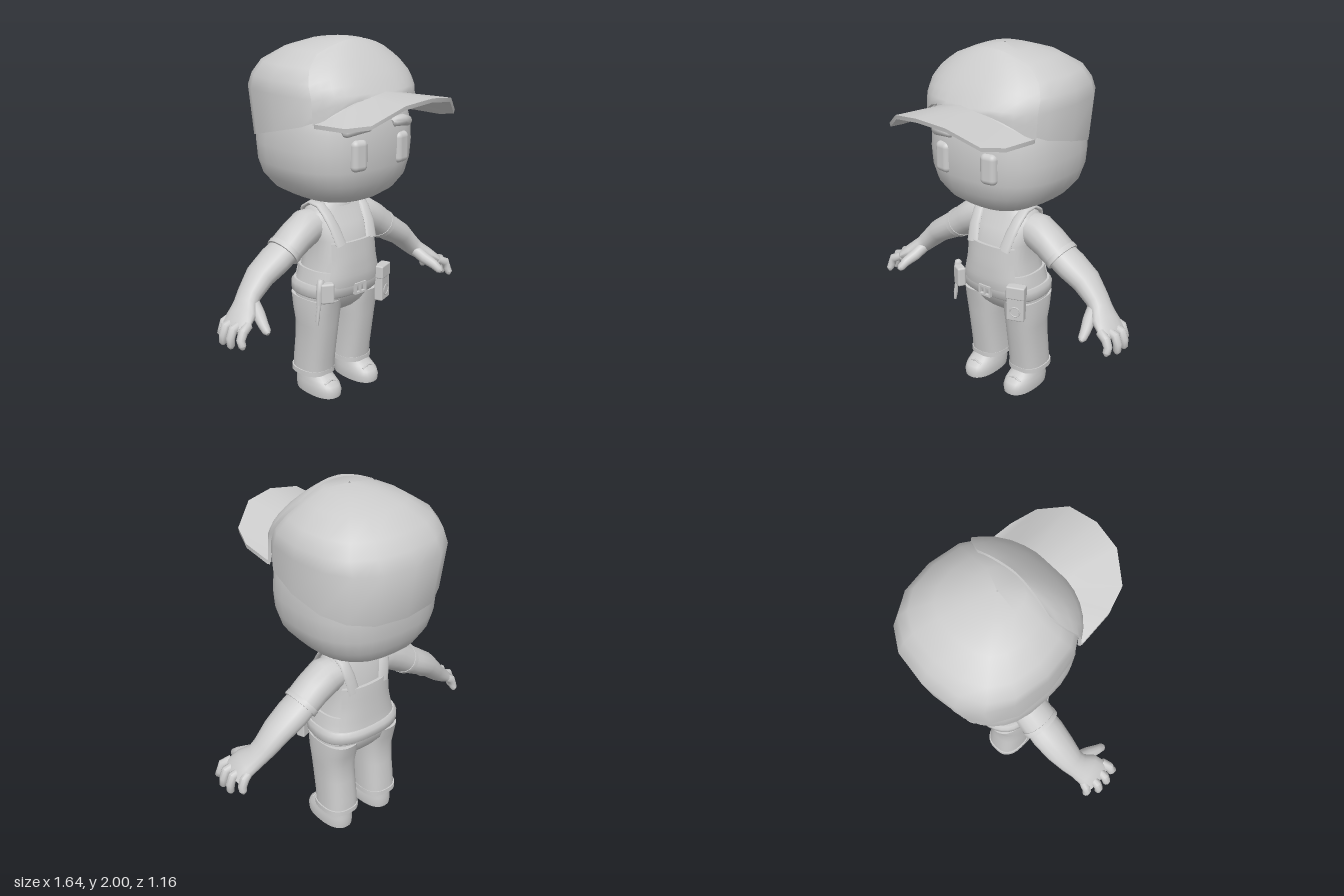
import * as THREE from 'three';
import { toCreasedNormals } from 'three/addons/utils/BufferGeometryUtils.js';
import { RoundedBoxGeometry } from 'three/addons/geometries/RoundedBoxGeometry.js';

const V = (x, y, z) => new THREE.Vector3(x, y, z);
const gray = new THREE.MeshStandardMaterial({ color: 0xcccccc, side: THREE.DoubleSide });
gray.name = 'plain gray';

function add(parent, name, geo, pos = [0, 0, 0], rot = [0, 0, 0]) {
  const m = new THREE.Mesh(geo, gray);
  m.name = name;
  m.position.set(...pos);
  m.rotation.set(...rot);
  parent.add(m);
  return m;
}

// Joins rings of points into a surface; closed rings wrap around, capped ones get end fans
function skin(rings, { wrap = true, caps = true, crease = 0.9 } = {}) {
  const n = rings[0].length, pts = rings.flat(), idx = [];
  for (let i = 0; i < rings.length - 1; i++)
    for (let j = 0; j < (wrap ? n : n - 1); j++) {
      const a = i * n + j, b = i * n + (j + 1) % n;
      idx.push(a, b, b + n, a, b + n, a + n);
    }
  if (caps) for (const end of [0, rings.length - 1]) {
    const c = rings[end].reduce((s, p) => s.add(p), V(0, 0, 0)).divideScalar(n);
    pts.push(c);
    for (let j = 0; j < n; j++) {
      const a = end * n + j, b = end * n + (j + 1) % n;
      if (end) idx.push(a, b, pts.length - 1); else idx.push(b, a, pts.length - 1);
    }
  }
  const g = new THREE.BufferGeometry().setFromPoints(pts);
  g.setIndex(idx);
  return toCreasedNormals(g, crease);
}

// Point on a superellipse section: [y, halfWidth, zFront, zBack]; angle -90 degrees is the front
function onSection([y, hw, zf, zb], a, n, cx = 0) {
  const p = (v) => Math.sign(v) * Math.abs(v) ** (2 / n);
  return V(cx + hw * p(Math.cos(a)), y, (zf + zb) / 2 - (zf - zb) / 2 * p(Math.sin(a)));
}
const around = (n, f) => Array.from({ length: n }, (_, j) => f(j / n * Math.PI * 2));
const stack = (rows, n = 2.5, cx = 0, sides = 32) =>
  skin(rows.map((r) => around(sides, (a) => onSection(r, a, n, cx))));

// Sweeps an ellipse along points [x, y, z, thickness, width]; width runs along ref
function limb(path, ref = V(0, 0, 1), sides = 16) {
  const c = path.map((p) => V(p[0], p[1], p[2]));
  return skin(path.map(([, , , r, w = r], i) => {
    const t = c[Math.min(i + 1, c.length - 1)].clone().sub(c[Math.max(i - 1, 0)]).normalize();
    const b = ref.clone().addScaledVector(t, -ref.dot(t)).normalize();
    const q = t.clone().cross(b);
    return around(sides, (a) => c[i].clone().addScaledVector(b, w * Math.cos(a)).addScaledVector(q, r * Math.sin(a)));
  }));
}

// Raised panel on a surface f(angle, s); border points drop back onto the surface
function panel(f, a0, a1, s0, s1, off, centreY) {
  const nu = 14, nv = 10, rings = [];
  for (let i = 0; i <= nv; i++) {
    const row = [];
    for (let j = 0; j <= nu; j++) {
      const u = THREE.MathUtils.clamp((j - 1) / (nu - 2), 0, 1);
      const v = THREE.MathUtils.clamp((i - 1) / (nv - 2), 0, 1);
      const p = f(a0 + (a1 - a0) * u, s0 + (s1(u) - s0) * v);
      const edge = i === 0 || j === 0 || i === nv || j === nu;
      const d = p.clone().sub(V(0, centreY ?? p.y, -0.14)).normalize();
      row.push(p.addScaledVector(d, edge ? -0.004 : off));
    }
    rings.push(row);
  }
  return skin(rings, { wrap: false, caps: false, crease: 0.7 });
}

// Row at a fractional index
function between(rows, s) {
  const i = Math.min(Math.floor(s), rows.length - 2);
  return rows[i].map((v, k) => v + (rows[i + 1][k] - v) * (s - i));
}

const TORSO = [
  [0.49, 0.15, -0.04, -0.24], [0.53, 0.235, 0.0, -0.27], [0.6, 0.24, 0.045, -0.295], [0.7, 0.215, 0.065, -0.28],
  [0.8, 0.19, 0.062, -0.272], [0.92, 0.185, 0.05, -0.265], [1.0, 0.2, 0.01, -0.25],
  [1.06, 0.19, -0.025, -0.235], [1.1, 0.15, -0.045, -0.22], [1.125, 0.095, -0.055, -0.21]];

const CROWN = [
  [0, 0.4, 0.258, -0.535], [1.73, 0.402, 0.26, -0.582], [1.8, 0.395, 0.215, -0.54], [1.87, 0.345, 0.155, -0.49],
  [1.94, 0.24, 0.085, -0.37], [1.983, 0.125, 0.03, -0.23], [2.0, 0.005, -0.085, -0.095]];
const brimY = (z) => (z > 0.13 ? 1.61 + (z - 0.13) : 1.61 + (z - 0.13) * 0.256);
function crownPoint(a, s) {
  const low = onSection(CROWN[0], a, 2.5);
  low.y = brimY(low.z);
  if (s >= 1) return onSection(between(CROWN, s), a, 2.5);
  return low.lerp(onSection(CROWN[1], a, 2.5), s);
}

function buildCap(g) {
  add(g, 'capCrown', skin(CROWN.map((_, i) => around(16, (a) => crownPoint(a, i))), { caps: false, crease: 1.2 }));
  const rad = Math.PI / 180;
  add(g, 'capFrontPanel', panel(crownPoint, -147 * rad, -33 * rad, 0,
    (u) => 5 - 1.2 * Math.abs(2 * u - 1) ** 3, 0.012, 1.65));
  // arched visor, from one side to the other
  const edge = [[0, 1.76, 0.58], [0.16, 1.74, 0.556], [0.295, 1.65, 0.465], [0.34, 1.62, 0.33], [0.356, 1.612, 0.13]];
  const root = [[0, 1.75, 0.255], [0.1, 1.735, 0.245], [0.2, 1.69, 0.215], [0.3, 1.635, 0.16], [0.348, 1.61, 0.11]];
  const stations = [-4, -3, -2, -1, 0, 1, 2, 3, 4].map((k) => {
    const i = Math.abs(k), s = Math.sign(k);
    const e = V(edge[i][0] * s, edge[i][1], edge[i][2]), r = V(root[i][0] * s, root[i][1], root[i][2]);
    const drop = V(0, -0.022, 0), inset = V(0, -0.022, -0.006);
    return [r, r.clone().add(drop), e.clone().add(inset), e];
  });
  add(g, 'capVisor', skin(stations, { crease: 0.8 }));
}

function buildHead(g) {
  add(g, 'head', stack([
    [1.14, 0.13, 0.03, -0.32], [1.155, 0.215, 0.11, -0.39], [1.2, 0.295, 0.175, -0.45], [1.27, 0.355, 0.222, -0.49],
    [1.35, 0.382, 0.24, -0.51], [1.45, 0.39, 0.246, -0.515], [1.55, 0.382, 0.243, -0.515],
    [1.7, 0.355, 0.21, -0.5], [1.83, 0.25, 0.08, -0.4]], 2.6));
  add(g, 'neck', stack([[1.04, 0.1, -0.04, -0.23], [1.1, 0.09, -0.055, -0.215], [1.18, 0.09, -0.055, -0.215]], 2, 0, 24));
  for (const s of [1, -1]) {
    add(g, 'eye', new RoundedBoxGeometry(0.096, 0.166, 0.06, 5, 0.03), [0.15 * s, 1.437, 0.222], [0, 0.12 * s, 0]);
    add(g, 'eyebrow', limb([[0.078, 1.577, 0.232, 0.015], [0.088, 1.58, 0.232, 0.026], [0.16, 1.578, 0.222, 0.031],
      [0.222, 1.562, 0.2, 0.028], [0.237, 1.556, 0.195, 0.014]].map(([x, ...r]) => [x * s, ...r])));
  }
}

function buildArm(g) {
  add(g, 'sleeve', limb([[0.1, 1.0, -0.135, 0.08, 0.09], [0.2, 0.985, -0.135, 0.1, 0.105],
    [0.28, 0.94, -0.135, 0.092, 0.104], [0.36, 0.883, -0.137, 0.084, 0.106]]));
  add(g, 'sleeveCuff', limb([[0.345, 0.893, -0.137, 0.088, 0.11], [0.368, 0.877, -0.137, 0.088, 0.11]]));
  add(g, 'forearm', limb([[0.33, 0.9, -0.137, 0.075, 0.095], [0.42, 0.845, -0.14, 0.077, 0.1], [0.52, 0.783, -0.14, 0.068, 0.09],
    [0.6, 0.705, -0.13, 0.056, 0.074], [0.64, 0.665, -0.115, 0.05, 0.072], [0.69, 0.625, -0.085, 0.045, 0.092],
    [0.735, 0.592, -0.07, 0.036, 0.096], [0.765, 0.565, -0.065, 0.02, 0.085]]));
  // four fingers: base z, tip z, tip x
  for (const [z0, z1, tx, ty] of [[-0.145, -0.165, 0.765, 0.515], [-0.095, -0.1, 0.8, 0.497],
    [-0.04, -0.032, 0.8, 0.497], [0.008, 0.04, 0.78, 0.51]]) {
    const zm = (z0 + z1) / 2;
    add(g, 'finger', limb([[0.715, 0.605, z0, 0.024], [tx - 0.018, 0.585, zm, 0.026], [tx - 0.002, 0.545, zm, 0.024],
      [tx, ty + 0.008, z1, 0.021], [tx - 0.002, ty - 0.006, z1, 0.01]], V(0, 0, 1), 10));
  }
  add(g, 'thumb', limb([[0.61, 0.665, -0.08, 0.035], [0.625, 0.63, -0.02, 0.034], [0.645, 0.6, 0.04, 0.028],
    [0.652, 0.575, 0.078, 0.023], [0.654, 0.566, 0.092, 0.01]], V(1, 0, 0), 12));
}

function buildLeg(g) {
  add(g, 'trouserLeg', stack([[0.115, 0.103, -0.045, -0.277], [0.2, 0.101, -0.035, -0.272], [0.32, 0.1, -0.015, -0.258],
    [0.42, 0.103, 0.0, -0.252], [0.5, 0.11, 0.012, -0.268], [0.58, 0.105, 0.03, -0.29]], 2.5, 0.138));
  add(g, 'trouserCuff', stack([[0.112, 0.108, -0.04, -0.283], [0.14, 0.107, -0.04, -0.282]], 2.5, 0.14));
  add(g, 'shoe', stack([[0, 0.083, 0.043, -0.262], [0.035, 0.087, 0.047, -0.266], [0.065, 0.083, 0.034, -0.264],
    [0.09, 0.078, -0.002, -0.262], [0.115, 0.074, -0.04, -0.26], [0.16, 0.07, -0.06, -0.25]], 2.4, 0.145));
  add(g, 'shoeLace', limb([[0.1, 0.078, -0.005, 0.006], [0.145, 0.095, -0.002, 0.006], [0.19, 0.078, -0.005, 0.006]]));
  // strap running over the shoulder
  add(g, 'overallStrap', limb([[0.11, 0.9, 0.05, 0.012, 0.036], [0.125, 0.99, 0.014, 0.012, 0.034], [0.135, 1.06, -0.035, 0.013, 0.032],
    [0.14, 1.105, -0.085, 0.014, 0.032], [0.14, 1.112, -0.15, 0.014, 0.032], [0.135, 1.075, -0.215, 0.013, 0.032],
    [0.12, 1.0, -0.245, 0.012, 0.034], [0.1, 0.9, -0.26, 0.012, 0.036]], V(1, 0, 0)));
}

function buildBody(g) {
  add(g, 'torso', stack(TORSO, 2.6));
  add(g, 'collar', stack([[1.09, 0.115, -0.035, -0.235], [1.115, 0.112, -0.04, -0.23], [1.125, 0.09, -0.055, -0.215]], 2, 0, 28));
  const f = (a, s) => onSection(between(TORSO, s), a, 2.6);
  const rad = Math.PI / 180;
  add(g, 'frontBib', panel(f, -138 * rad, -42 * rad, 2.6, () => 4.95, 0.018));
  add(g, 'backBib', panel(f, 42 * rad, 138 * rad, 2.6, () => 5.1, 0.018));
  for (const s of [0, 180])
    add(g, 'overallSide', panel(f, (s - 50) * rad, (s + 50) * rad, 2.6, () => 3.5, 0.012));
  add(g, 'belt', stack([[0.6, 0.246, 0.055, -0.305], [0.612, 0.254, 0.068, -0.318], [0.655, 0.253, 0.073, -0.32],
    [0.675, 0.243, 0.074, -0.305]], 2.6));
  // buckle frame with a centre bar
  for (const y of [0.615, 0.667]) add(g, 'buckleBar', new THREE.BoxGeometry(0.08, 0.012, 0.02), [0, y, 0.076]);
  for (const x of [-0.036, 0, 0.036]) add(g, 'buckleBar', new THREE.BoxGeometry(0.01, 0.06, 0.02), [x, 0.641, 0.076]);

  // large pouch on the left hip
  const pouch = new THREE.Group();
  pouch.name = 'hipPouch';
  pouch.position.set(0.197, 0.617, 0.05);
  pouch.rotation.y = 0.35;
  add(pouch, 'pouchBody', new RoundedBoxGeometry(0.1, 0.205, 0.05, 2, 0.008));
  add(pouch, 'pouchFlap', new RoundedBoxGeometry(0.106, 0.075, 0.058, 2, 0.008), [0, 0.068, 0]);
  add(pouch, 'pouchButton', new THREE.TorusGeometry(0.028, 0.004, 6, 20), [0, -0.045, 0.025]);
  g.add(pouch);

  // small pouch and hanging tool on the right hip
  add(g, 'toolPouch', new RoundedBoxGeometry(0.075, 0.115, 0.05, 2, 0.012), [-0.212, 0.655, 0.045], [0, -0.5, 0]);
  add(g, 'toolHandle', limb([[-0.238, 0.735, 0.025, 0.01], [-0.24, 0.725, 0.025, 0.02], [-0.25, 0.66, 0.025, 0.018], [-0.254, 0.59, 0.025, 0.014]]));
  add(g, 'toolTip', limb([[-0.254, 0.6, 0.025, 0.009], [-0.264, 0.52, 0.025, 0.012], [-0.268, 0.475, 0.025, 0.007]]));
}

export function createModel() {
  const model = new THREE.Group();
  model.name = 'workerFigure';
  buildHead(model);
  buildCap(model);
  buildBody(model);
  for (const s of [1, -1]) {
    const side = new THREE.Group();
    side.name = s > 0 ? 'leftLimbs' : 'rightLimbs';
    side.scale.x = s;
    buildArm(side);
    buildLeg(side);
    model.add(side);
  }
  return model;
}
